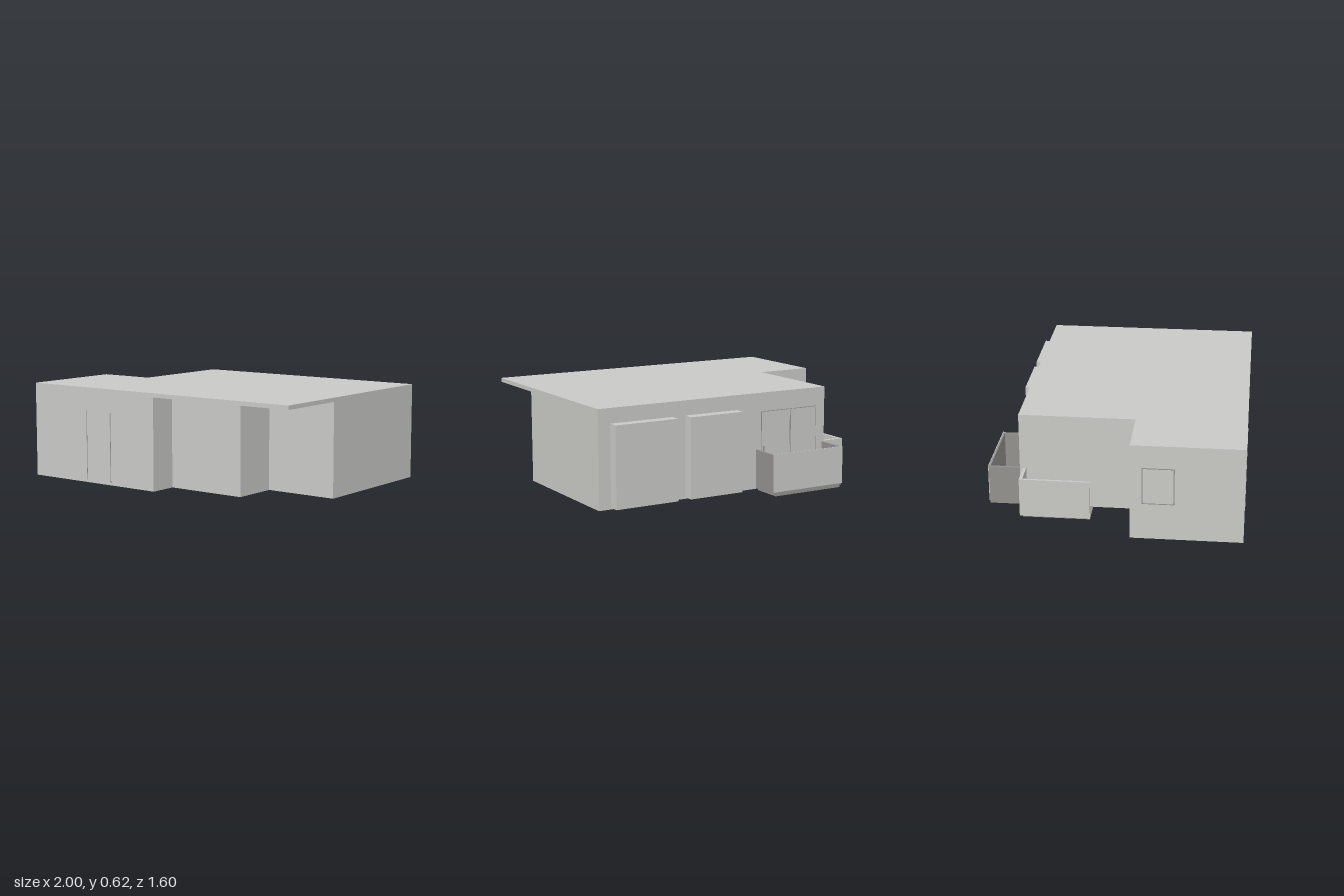
import * as THREE from 'three';

export function createModel() {
  const model = new THREE.Group();
  model.name = 'house';
  const mat = (name, color) => {
    const m = new THREE.MeshStandardMaterial({ color });
    m.name = name;
    return m;
  };
  const light = mat('light grey', 0xc9c9c6);
  const dark = mat('dark grey', 0x94928f);

  const add = (name, geometry, material, parent = model) => {
    const mesh = new THREE.Mesh(geometry, material);
    mesh.name = name;
    parent.add(mesh);
    return mesh;
  };
  // Box given by its limits along each axis
  const box = (name, [x0, x1], [y0, y1], [z0, z1], material, parent) => {
    const g = new THREE.BoxGeometry(x1 - x0, y1 - y0, z1 - z0);
    g.translate((x0 + x1) / 2, (y0 + y1) / 2, (z0 + z1) / 2);
    return add(name, g, material, parent);
  };
  // Floor plan of [x, z] points raised from y0 to y1
  const prism = (name, plan, y0, y1, material) => {
    const shape = new THREE.Shape(plan.map(([x, z]) => new THREE.Vector2(x, -z)));
    const g = new THREE.ExtrudeGeometry(shape, { depth: y1 - y0, bevelEnabled: false });
    g.rotateX(-Math.PI / 2);
    g.translate(0, y0, 0);
    return add(name, g, material);
  };

  const backCorner = [[1, -0.6], [-0.625, -0.6], [-0.625, 0.12], [-1, 0.12], [-1, 0.8]];
  const wallPlan = [...backCorner, [0, 0.8], [0, 0.62], [0.53, 0.62], [0.53, 0.325], [1, 0.325]];
  const roofPlan = [...backCorner, [1, 0.8]];

  // Stepped house body under one flat roof
  prism('foundation', wallPlan, 0.01, 0.025, [dark, light]);
  prism('walls', wallPlan, 0.025, 0.592, light);
  prism('roof', roofPlan, 0.592, 0.618, light);

  // Bays on the back wall
  for (const x of [[0.04, 0.41], [0.5, 0.92]]) {
    box('backBay', x, [0.02, 0.525], [-0.668, -0.6], light);
  }

  // Front door, with narrow joints at both sides
  box('frontDoor', [-0.548, -0.355], [0.012, 0.47], [0.797, 0.802], light);
  for (const x of [-0.552, -0.352]) {
    box('doorJoint', [x - 0.002, x + 0.002], [0.025, 0.47], [0.797, 0.801], dark);
  }

  // Side window: thin frame around a pane
  const sideWindow = new THREE.Group();
  sideWindow.name = 'sideWindow';
  model.add(sideWindow);
  box('windowFrame', [-1.001, -0.997], [0.24, 0.475], [0.19, 0.385], dark, sideWindow);
  box('windowPane', [-1.002, -0.997], [0.246, 0.469], [0.196, 0.379], light, sideWindow);

  // Balcony doors on the back wall
  for (const [x0, x1] of [[-0.355, -0.14], [-0.56, -0.361]]) {
    box('balconyDoorFrame', [x0, x1], [0.03, 0.5], [-0.602, -0.597], dark);
    box('balconyDoorPanel', [x0 + 0.004, x1 - 0.004], [0.03, 0.496], [-0.604, -0.597], light);
  }
  box('balconyDoorHandle', [-0.163, -0.155], [0.23, 0.28], [-0.609, -0.603], dark);

  // Back balcony: dark parapet with a light outer panel
  box('balconyFloor', [-0.61, -0.12], [0, 0.014], [-0.798, -0.6], dark);
  for (const x of [[-0.625, -0.61], [-0.12, -0.105]]) {
    box('balconyEndWall', x, [0.014, 0.26], [-0.796, -0.6], dark);
  }
  box('balconyBackWall', [-0.61, -0.12], [0.014, 0.26], [-0.796, -0.786], dark);
  box('balconyOuterPanel', [-0.627, -0.103], [0.025, 0.264], [-0.8, -0.796], light);
  box('floorDrain', [-0.262, -0.222], [0.012, 0.016], [-0.705, -0.665], dark);

  // Side terrace with an L-shaped parapet, open at the front
  box('terraceFloor', [-0.775, -0.625], [0, 0.014], [-0.56, -0.145], dark);
  box('terraceSideWall', [-0.79, -0.775], [0.012, 0.26], [-0.58, -0.145], light);
  box('terraceBackWall', [-0.775, -0.625], [0.012, 0.26], [-0.58, -0.56], light);

  return model;
}
